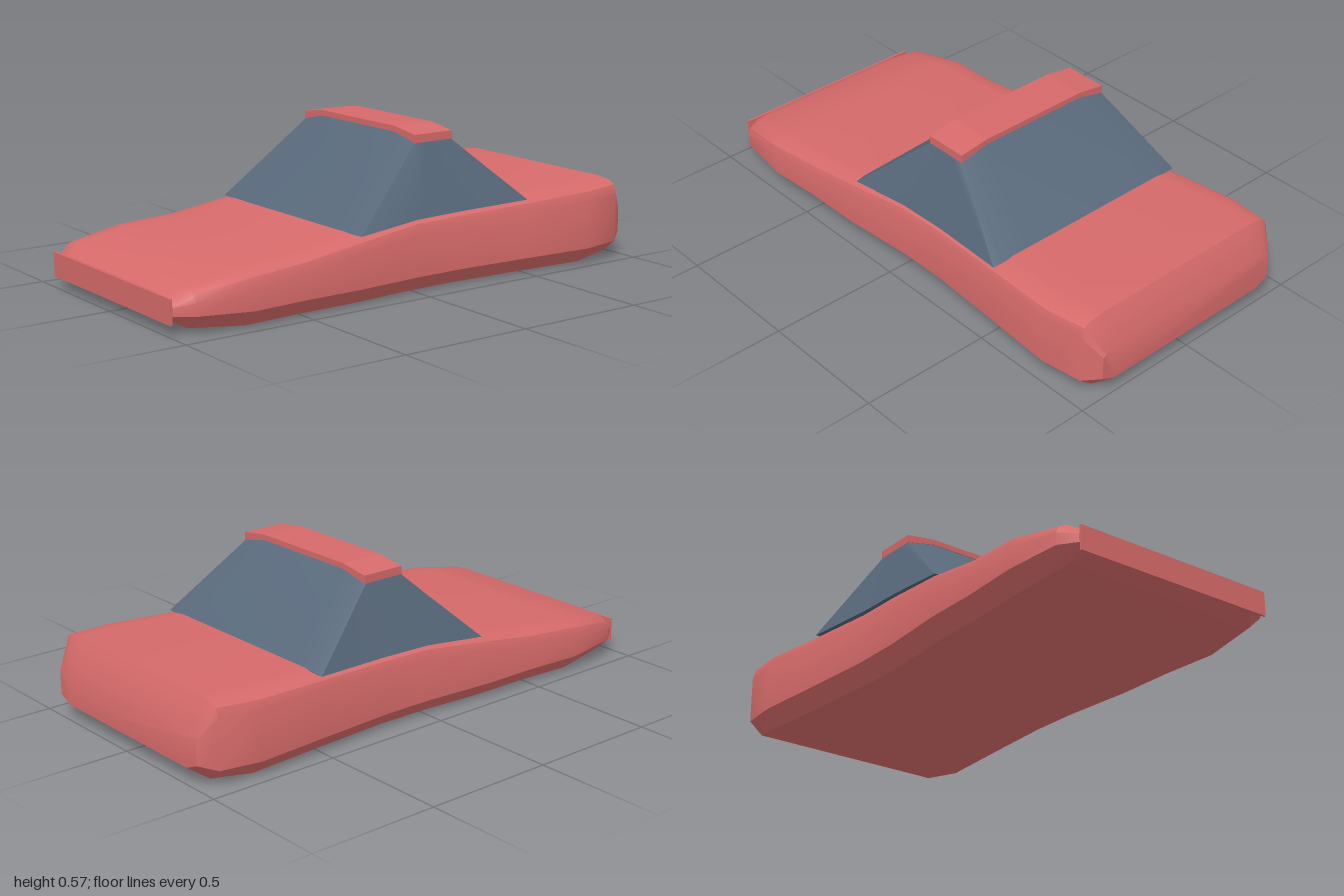
import * as THREE from 'three';
import { toCreasedNormals } from 'three/addons/utils/BufferGeometryUtils.js';

// Mirror a half ring across x = 0 into a closed ring
const mirrorRing = (half) => [
  ...half,
  ...half.slice().reverse().map(([x, y, z]) => [-x, y, z]),
];

// Skin a list of equal-length closed rings and cap both ends
function loft(rings, crease) {
  const pos = [];
  const tri = (...pts) => pts.forEach((p) => pos.push(...p));
  const n = rings[0].length;
  for (let i = 0; i < rings.length - 1; i++) {
    for (let j = 0; j < n; j++) {
      const k = (j + 1) % n;
      const a = rings[i][j], b = rings[i][k], c = rings[i + 1][k], d = rings[i + 1][j];
      tri(a, d, c);
      tri(a, c, b);
    }
  }
  const first = rings[0], last = rings[rings.length - 1];
  for (let j = 1; j < n - 1; j++) {
    tri(first[0], first[j], first[j + 1]);
    tri(last[0], last[j + 1], last[j]);
  }
  const geo = new THREE.BufferGeometry();
  geo.setAttribute('position', new THREE.Float32BufferAttribute(pos, 3));
  return toCreasedNormals(geo, crease);
}

export function createModel() {
  const paint = new THREE.MeshStandardMaterial({ color: 0xd66a6a });
  paint.name = 'red paint';
  const glass = new THREE.MeshStandardMaterial({ color: 0x58697b });
  glass.name = 'blue grey glass';

  const group = new THREE.Group();
  group.name = 'wedgeCar';
  const add = (name, geometry, material) => {
    const mesh = new THREE.Mesh(geometry, material);
    mesh.name = name;
    group.add(mesh);
    return mesh;
  };

  // Body stations: z, half width, bottom y, sill y, shoulder y, top y
  const stations = [
    [0.99, 0.405, 0.05, 0.07, 0.1, 0.13],
    [0.93, 0.45, 0.02, 0.07, 0.115, 0.162],
    [0.72, 0.475, 0.0, 0.06, 0.14, 0.195],
    [0.5, 0.462, 0.0, 0.06, 0.16, 0.21],
    [0.27, 0.46, 0.0, 0.06, 0.19, 0.243],
    [0.0, 0.44, 0.0, 0.06, 0.22, 0.272],
    [-0.2, 0.438, 0.0, 0.06, 0.225, 0.276],
    [-0.5, 0.456, 0.0, 0.06, 0.235, 0.286],
    [-0.78, 0.475, 0.0, 0.06, 0.245, 0.298],
    [-0.94, 0.455, 0.02, 0.065, 0.25, 0.305],
    [-1.0, 0.41, 0.06, 0.085, 0.175, 0.205],
  ];
  const bodyRings = stations.map(([z, w, bottom, sill, shoulder, top]) =>
    mirrorRing([
      [w - 0.055, bottom, z],
      [w, sill, z],
      [w, shoulder, z],
      [w - 0.012, top - 0.022, z],
      [w - 0.04, top - 0.007, z],
      [w - 0.1, top, z],
    ]));
  add('body', loft(bodyRings, 0.6), paint);

  // Flat panel across the nose
  add('nosePanel', new THREE.BoxGeometry(0.81, 0.09, 0.008), paint)
    .position.set(0, 0.085, 0.996);

  // Glasshouse: base ring on the body, top ring under the roof
  const base = [
    [0.3, 0.284, -0.505], [0.41, 0.283, -0.505], [0.443, 0.278, -0.5],
    [0.426, 0.27, -0.2], [0.427, 0.265, 0.0],
    [0.438, 0.24, 0.255], [0.395, 0.242, 0.263], [0.3, 0.243, 0.265],
  ];
  const top = [
    [0.225, 0.548, -0.215], [0.337, 0.524, -0.215], [0.338, 0.524, -0.213],
    [0.338, 0.524, -0.16], [0.338, 0.524, -0.11],
    [0.338, 0.524, -0.06], [0.337, 0.524, -0.057], [0.225, 0.548, -0.057],
  ];
  add('cabinGlass', loft([mirrorRing(base), mirrorRing(top)], 0.5), glass);

  // Roof slab with drooping ends
  const roof = new THREE.Shape([
    [-0.34, 0.52], [-0.225, 0.546], [0.225, 0.546], [0.34, 0.52],
    [0.34, 0.55], [0.225, 0.567], [-0.225, 0.567], [-0.34, 0.55],
  ].map(([x, y]) => new THREE.Vector2(x, y)));
  add('roof', new THREE.ExtrudeGeometry(roof, { depth: 0.17, bevelEnabled: false }), paint)
    .position.z = -0.222;

  return group;
}
